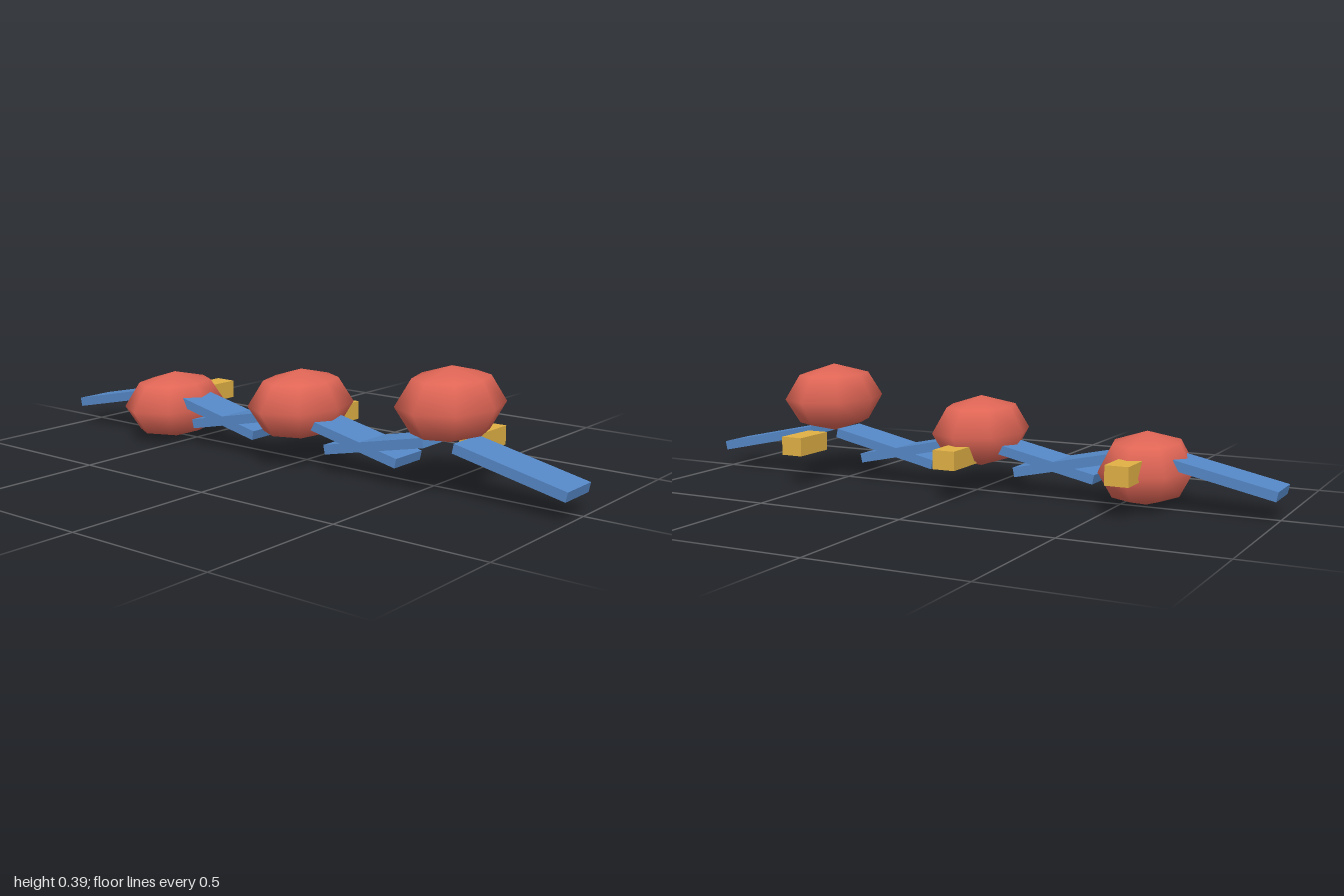
import * as THREE from 'three';

const material = (color) => new THREE.MeshStandardMaterial({ color });

export function createModel() {
  const model = new THREE.Group();
  model.name = 'flock';

  const red = material(0xe06656), blue = material(0x5588c7), yellow = material(0xe0b045);
  const bodyShape = new THREE.SphereGeometry(1, 8, 4).scale(0.15, 0.116, 0.201);
  const wingShape = new THREE.BoxGeometry(0.379, 0.031, 0.137);
  const tailShape = new THREE.BoxGeometry(0.075, 0.061, 0.153);

  function add(parent, name, geometry, mat, x, y, z) {
    const mesh = new THREE.Mesh(geometry, mat);
    mesh.name = name;
    mesh.position.set(x, y, z);
    parent.add(mesh);
    return mesh;
  }

  // Three birds in a row, each body a step higher than the one before
  for (let i = 0; i < 3; i++) {
    const bird = new THREE.Group();
    bird.name = 'bird' + (i + 1);
    bird.position.x = (i - 1) * 0.573;
    add(bird, 'body', bodyShape, red, 0, 0.118 + i * 0.077, 0.03);

    // Drooping wings, mirrored left and right
    for (const side of [1, -1]) {
      const wing = add(bird, side > 0 ? 'leftWing' : 'rightWing', wingShape, blue, side * 0.238, 0.118, 0.03);
      wing.rotation.z = -side * 0.211;
    }

    // Stubby tail at the back
    add(bird, 'tail', tailShape, yellow, 0, 0.135, -0.154);
    model.add(bird);
  }
  return model;
}
